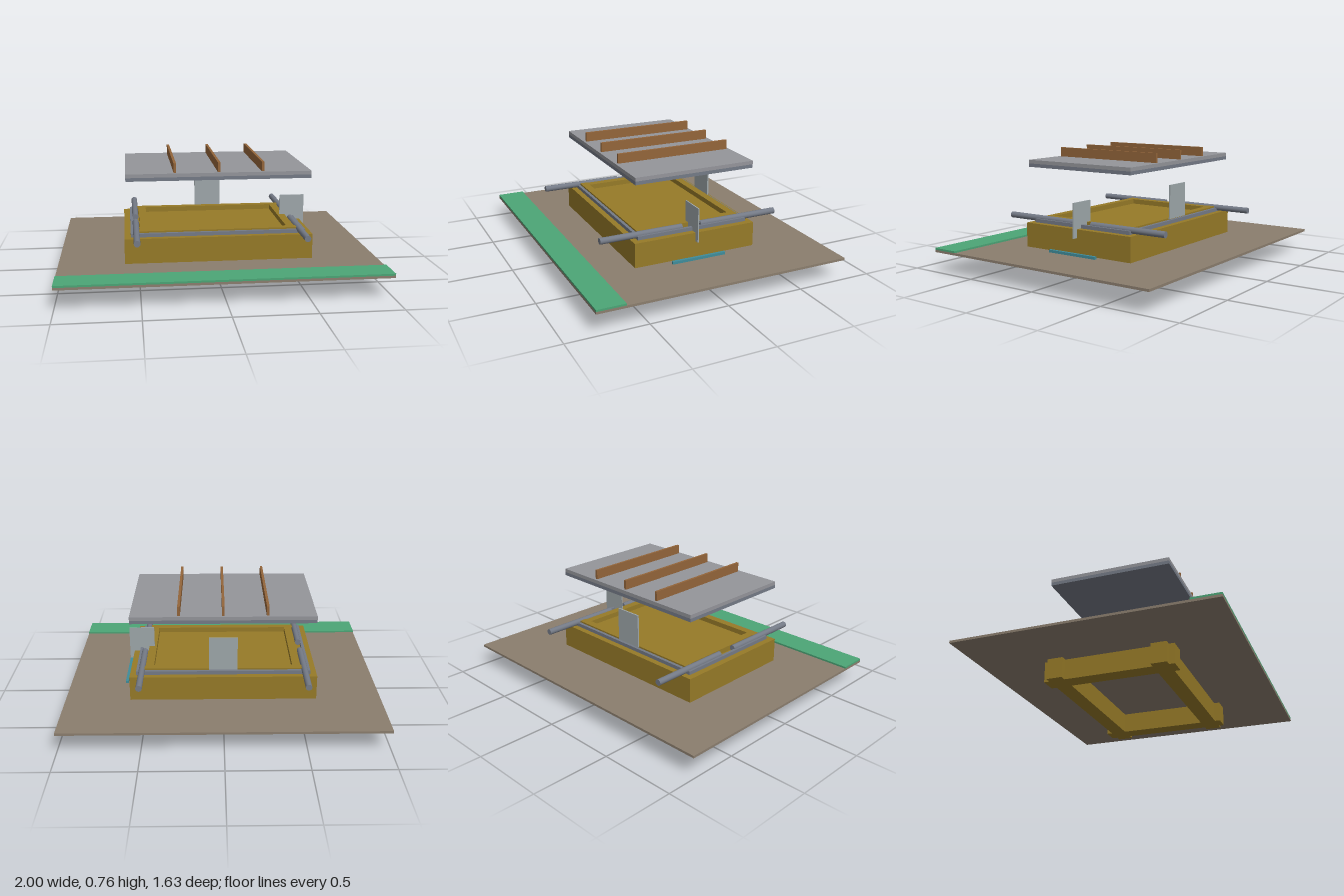
import * as THREE from 'three';

export function createModel() {
  const model = new THREE.Group();
  const mat = (color) => new THREE.MeshStandardMaterial({ color });
  const earth = mat(0x8b7e6e), green = mat(0x4ca576), timber = mat(0x967a28);
  const steel = mat(0x747a86), lidGrey = mat(0x94959a), brown = mat(0x93653a);
  const panelGrey = mat(0x9ea7aa), teal = mat(0x3f8c9a);

  // Box given by its extents along each axis
  function box(name, [x0, x1], [y0, y1], [z0, z1], material, parent = model) {
    const mesh = new THREE.Mesh(new THREE.BoxGeometry(x1 - x0, y1 - y0, z1 - z0), material);
    mesh.position.set((x0 + x1) / 2, (y0 + y1) / 2, (z0 + z1) / 2);
    mesh.name = name;
    parent.add(mesh);
    return mesh;
  }
  function group(name) {
    const g = new THREE.Group();
    g.name = name;
    model.add(g);
    return g;
  }
  // Pair of limits on the +1 or -1 side
  const side = (s, a, b) => (s > 0 ? [a, b] : [-b, -a]);

  // Ground plate, front strip and side rail
  box('groundPlate', [-1, 1], [0.13, 0.145], [-0.815, 0.815], earth);
  box('frontStrip', [-1, 1], [0.145, 0.157], [0.637, 0.815], green);
  box('sideRail', [0.622, 0.641], [0.145, 0.162], [-0.18, 0.18], teal);

  // Crossed foundation beams, body rim and seal, one per side
  const foundation = group('foundation');
  const rim = group('rim');
  const seal = group('seal');
  for (const s of [-1, 1]) {
    box('longBeam', [-0.6, 0.6], [0, 0.13], side(s, 0.28, 0.38), timber, foundation);
    box('crossBeam', side(s, 0.455, 0.56), [0, 0.13], [-0.415, 0.415], timber, foundation);
    box('longRim', [-0.53, 0.53], [0.3, 0.335], side(s, 0.3, 0.35), timber, rim);
    box('crossRim', side(s, 0.44, 0.49), [0.3, 0.335], [-0.3, 0.3], timber, rim);
    box('longSeal', [-0.55, 0.55], [0.3, 0.325], side(s, 0.35, 0.37), steel, seal);
    box('crossSeal', side(s, 0.53, 0.55), [0.3, 0.325], [-0.35, 0.35], steel, seal);
  }

  // Main body
  box('body', [-0.59, 0.59], [0.145, 0.302], [-0.408, 0.408], timber);

  // Carrying rods at the four corners
  const rods = group('rods');
  const rodGeometry = new THREE.CylinderGeometry(0.02, 0.02, 0.54, 16).rotateX(Math.PI / 2);
  for (const x of [-0.515, 0.515]) {
    for (const z of [-0.332, 0.332]) {
      const rod = new THREE.Mesh(rodGeometry, steel);
      rod.position.set(x, 0.325, z);
      rod.name = 'rod';
      rods.add(rod);
    }
  }

  // Upright panels at the back and on the left
  box('backPanel', [-0.09, 0.09], [0.33, 0.548], [-0.36, -0.35], panelGrey);
  box('sidePanel', [0.455, 0.62], [0.248, 0.468], [-0.004, 0.004], panelGrey);

  // Raised lid with three ribs
  const lid = group('lid');
  box('lidBase', [-0.575, 0.575], [0.66, 0.682], [-0.395, 0.395], steel, lid);
  box('lidTop', [-0.575, 0.575], [0.682, 0.705], [-0.395, 0.395], lidGrey, lid);
  for (const x of [-0.273, 0, 0.273]) {
    box('lidRib', [x - 0.008, x + 0.008], [0.705, 0.765], [-0.378, 0.378], brown, lid);
  }
  return model;
}
